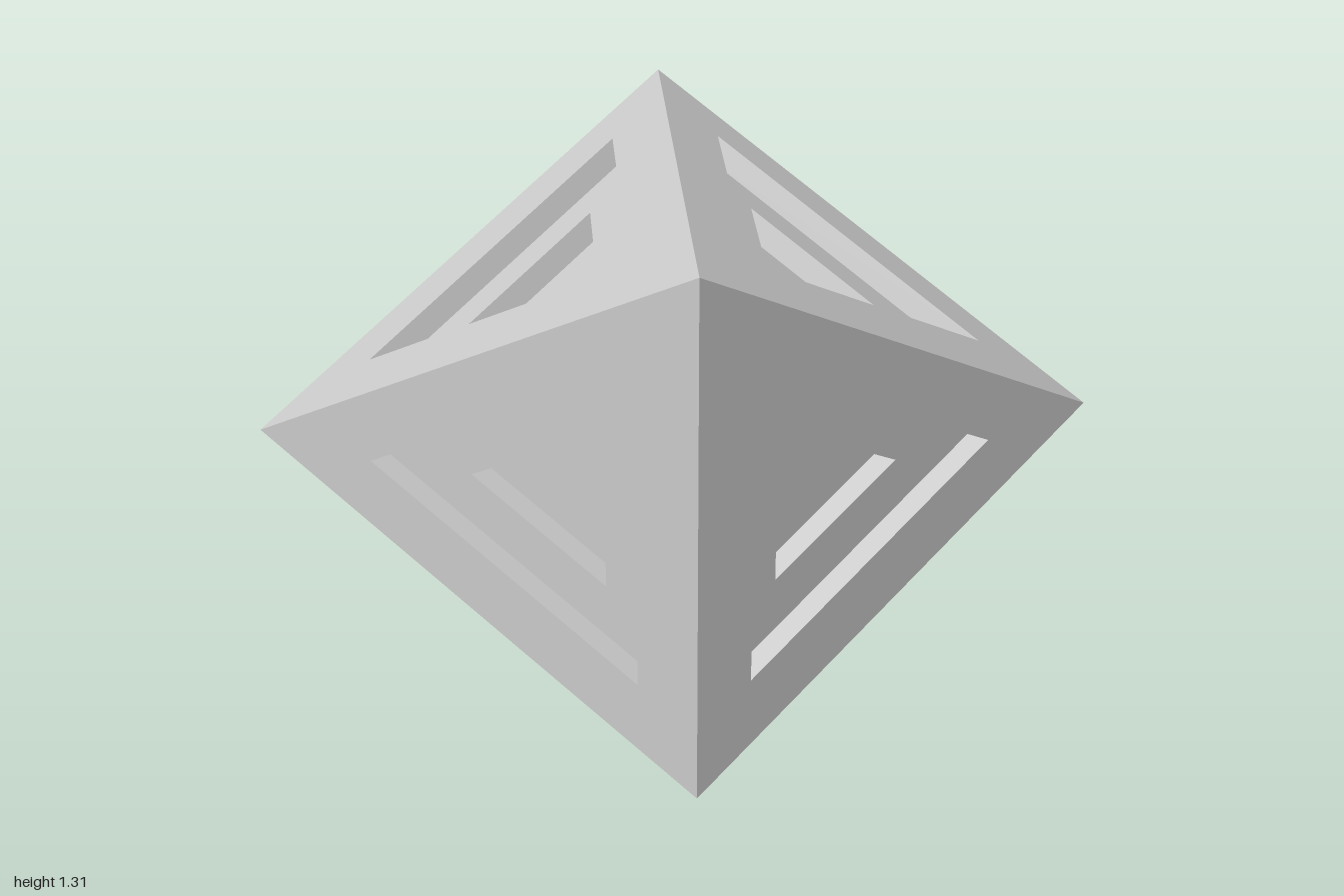
import * as THREE from 'three';
import { mergeGeometries } from 'three/addons/utils/BufferGeometryUtils.js';

const H = 0.655;                 // half side of the square waist
const L = Math.hypot(1, H);      // slant height of one face
const STEP = 0.06;               // depth of each recess step

// Face triangle around its incentre, counter-clockwise, scaled by s
const side = Math.hypot(1, H, H);
const apexShare = side / (side + H);
const triangle = (s) => [
  new THREE.Vector2(-H * s, -L * (1 - apexShare) * s),
  new THREE.Vector2(H * s, -L * (1 - apexShare) * s),
  new THREE.Vector2(0, L * apexShare * s),
];

// Flat triangle, optionally with a triangular opening
function plate(outer, hole, z) {
  const shape = new THREE.Shape(triangle(outer));
  if (hole) shape.holes.push(new THREE.Path(triangle(hole).reverse()));
  return new THREE.ShapeGeometry(shape).translate(0, 0, z).toNonIndexed();
}

// Inward-facing walls of a recess, perpendicular to the face
function walls(s, top, bottom) {
  const pts = triangle(s);
  const pos = [];
  pts.forEach((a, i) => {
    const b = pts[(i + 1) % 3];
    pos.push(a.x, a.y, top, b.x, b.y, top, b.x, b.y, bottom);
    pos.push(a.x, a.y, top, b.x, b.y, bottom, a.x, a.y, bottom);
  });
  const g = new THREE.BufferGeometry();
  g.setAttribute('position', new THREE.Float32BufferAttribute(pos, 3));
  g.computeVertexNormals();
  return g;
}

function faceGeometry() {
  const parts = [
    plate(1, 0.6, 0),
    walls(0.6, 0, -STEP),
    plate(0.6, 0.3, -STEP),
    walls(0.3, -STEP, -2 * STEP),
    plate(0.3, 0, -2 * STEP),
  ];
  parts.forEach((g) => g.deleteAttribute('uv'));
  const g = mergeGeometries(parts);
  // Lay the face between the front waist edge and the +x tip
  const v = new THREE.Vector3(1, 0, -H).normalize();
  const w = new THREE.Vector3(H, 0, 1).normalize();
  const u = new THREE.Vector3().crossVectors(v, w);
  const m = new THREE.Matrix4().makeBasis(u, v, w);
  m.setPosition(1 - apexShare, 0, H * apexShare);
  return g.applyMatrix4(m);
}

export function createModel() {
  const model = new THREE.Group();
  model.name = 'recessedBipyramid';
  const material = new THREE.MeshStandardMaterial({ color: 0xcccccc, flatShading: true });
  const geometry = faceGeometry();

  // Two four-sided pyramids joined at the waist
  for (const name of ['leftPyramid', 'rightPyramid']) {
    const half = new THREE.Group();
    half.name = name;
    half.position.y = H;
    if (name === 'rightPyramid') half.rotation.z = Math.PI;
    for (let k = 0; k < 4; k++) {
      const face = new THREE.Mesh(geometry, material);
      face.name = 'steppedFace';
      face.rotation.x = (k * Math.PI) / 2;
      half.add(face);
    }
    model.add(half);
  }
  return model;
}
